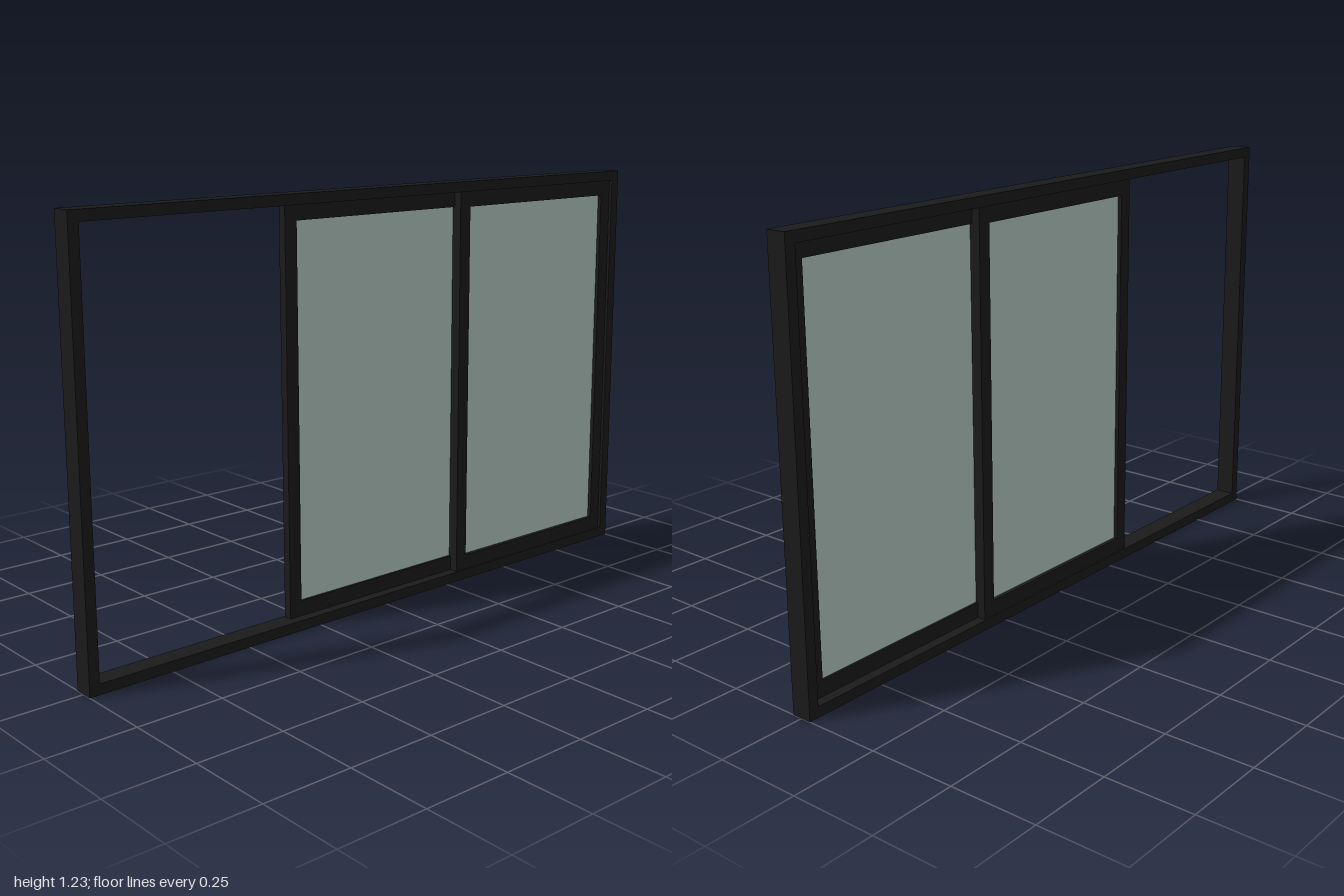
import * as THREE from 'three';

const frameMat = new THREE.MeshStandardMaterial({ color: 0x1a1a1a });
const glassMat = new THREE.MeshStandardMaterial({ color: 0xb4c8c0 });

function rect(path, x0, y0, x1, y1) {
  path.moveTo(x0, y0);
  path.lineTo(x1, y0);
  path.lineTo(x1, y1);
  path.lineTo(x0, y1);
  path.closePath();
  return path;
}

// Rectangular ring: outer and inner are [x0, y0, x1, y1], running from z0 to z1
function ring(name, outer, inner, z0, z1) {
  const shape = rect(new THREE.Shape(), ...outer);
  shape.holes.push(rect(new THREE.Path(), ...inner));
  const geo = new THREE.ExtrudeGeometry(shape, { depth: z1 - z0, bevelEnabled: false });
  geo.translate(0, 0, z0);
  const mesh = new THREE.Mesh(geo, frameMat);
  mesh.name = name;
  return mesh;
}

// Sliding sash: ring of stiles and rails around a thin pane
function sash(name, x0, x1, z0, z1, paneZ) {
  const group = new THREE.Group();
  group.name = name;
  const stile = 0.04, bottom = 0.03, top = 1.195, rail = 0.045;
  const inner = [x0 + stile, bottom + rail, x1 - stile, top - rail];
  group.add(ring(name + 'Frame', [x0, bottom, x1, top], inner, z0, z1));

  const pane = new THREE.Mesh(
    new THREE.BoxGeometry(inner[2] - inner[0], inner[3] - inner[1], 0.006), glassMat);
  pane.position.set((inner[0] + inner[2]) / 2, (inner[1] + inner[3]) / 2, paneZ);
  pane.name = name + 'Glass';
  group.add(pane);
  return group;
}

export function createModel() {
  const model = new THREE.Group();
  model.name = 'slidingWindow';

  // Fixed outer frame
  model.add(ring('outerFrame', [-1, 0, 1, 1.225], [-0.97, 0.03, 0.97, 1.195], -0.03, 0.03));

  // Two sashes on separate tracks, overlapping at the meeting stile
  model.add(sash('rearSash', -0.335, 0.335, -0.025, 0, -0.01));
  model.add(sash('frontSash', 0.295, 0.965, 0, 0.025, 0.01));

  // Jamb strip closing the gap beside the front sash
  const strip = new THREE.Mesh(new THREE.BoxGeometry(0.01, 1.165, 0.03), frameMat);
  strip.position.set(0.967, 0.6125, 0);
  strip.name = 'jambStrip';
  model.add(strip);

  return model;
}
